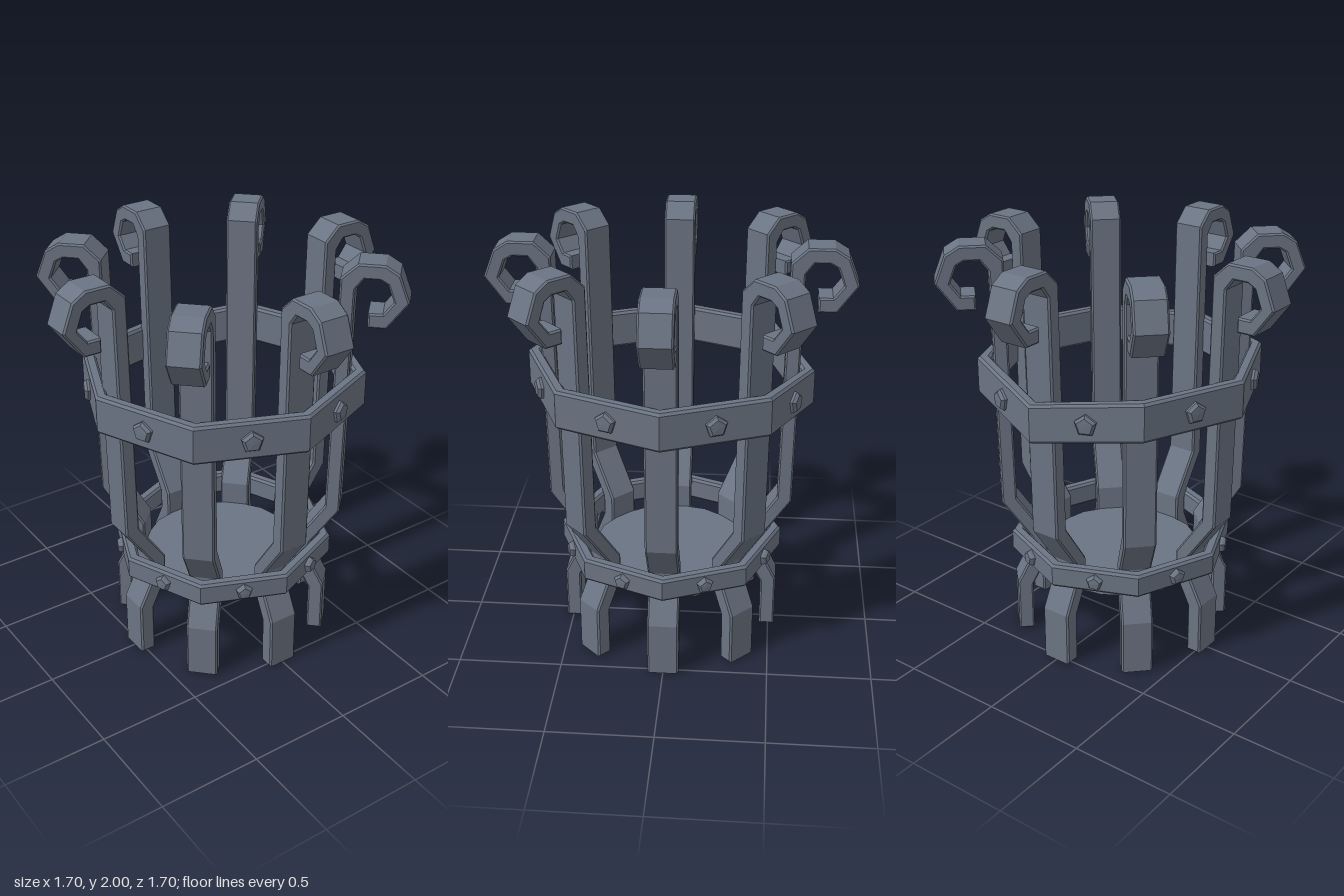
import * as THREE from 'three';

const BARS = 8;
const STEP = (Math.PI * 2) / BARS;

// Bar side profile as (radius, height): inner edge up, over the scroll, back down the outer edge
const BAR_PROFILE = [
  [0.455, 0], [0.53, 0], [0.53, 0.27], [0.455, 0.42], [0.455, 0.52], [0.592, 0.72], [0.608, 1.88],
  [0.645, 1.93], [0.715, 1.93], [0.75, 1.91], [0.78, 1.83], [0.735, 1.77], [0.67, 1.77],
  [0.67, 1.70], [0.755, 1.70], [0.85, 1.83], [0.80, 1.96], [0.735, 2.0], [0.615, 2.0],
  [0.54, 1.93], [0.52, 0.74], [0.38, 0.53], [0.38, 0.40], [0.455, 0.25],
];

function flat(geometry) {
  const g = geometry.index ? geometry.toNonIndexed() : geometry;
  g.computeVertexNormals();
  return g;
}

// Forged bar with narrow chamfers, lying in the x-y plane and 0.15 wide
function barGeometry() {
  const b = 0.008, width = 0.15;
  const shape = new THREE.Shape(BAR_PROFILE.map(([r, y]) => new THREE.Vector2(r, y)));
  const g = new THREE.ExtrudeGeometry(shape, {
    depth: width - 2 * b, bevelEnabled: true, bevelThickness: b,
    bevelSize: b, bevelOffset: -b, bevelSegments: 1,
  });
  g.translate(0, 0, -width / 2 + b);
  return flat(g);
}

// Eight-sided band with chamfered edges; sag lowers its back corner
function bandGeometry(radius, bottom, top, sag) {
  const inner = radius - 0.06, c = 0.012;
  const profile = [
    [inner + c, bottom], [radius - c, bottom], [radius, bottom + c], [radius, top - c],
    [radius - c, top], [inner + c, top], [inner, top - c], [inner, bottom + c], [inner + c, bottom],
  ].map(([r, y]) => new THREE.Vector2(r, y));
  const g = new THREE.LatheGeometry(profile, BARS);
  const p = g.attributes.position;
  for (let i = 0; i < p.count; i++) {
    if (Math.abs(p.getX(i)) < 0.01 && p.getZ(i) < 0) p.setY(i, p.getY(i) - sag);
  }
  return flat(g);
}

// Five-sided rivet with a domed head, facing +z and pointing up
function rivetGeometry(radius) {
  const g = new THREE.LatheGeometry([
    new THREE.Vector2(radius, -0.01), new THREE.Vector2(radius, 0.012),
    new THREE.Vector2(radius * 0.75, 0.026), new THREE.Vector2(0, 0.028),
  ], 5);
  g.rotateX(Math.PI / 2);
  g.rotateZ(Math.PI);
  return flat(g);
}

export function createModel() {
  const model = new THREE.Group();
  model.name = 'fireBasket';
  const iron = new THREE.MeshStandardMaterial({ color: 0x6b7483 });
  iron.name = 'dark iron';

  const add = (parent, name, geometry) => {
    const mesh = new THREE.Mesh(geometry, iron);
    mesh.name = name;
    parent.add(mesh);
    return mesh;
  };

  // Scrolled upright bars
  const bars = new THREE.Group();
  bars.name = 'bars';
  model.add(bars);
  const barGeo = barGeometry();
  for (let i = 0; i < BARS; i++) add(bars, 'bar', barGeo).rotation.y = i * STEP;

  // Bands, each with one rivet in the middle of every side
  const bands = [
    { name: 'upperBand', radius: 0.675, bottom: 1.27, top: 1.455, sag: 0.06, rivet: 0.052 },
    { name: 'lowerBand', radius: 0.545, bottom: 0.42, top: 0.535, sag: 0, rivet: 0.04 },
  ];
  for (const band of bands) {
    const group = new THREE.Group();
    group.name = band.name;
    model.add(group);
    add(group, 'hoop', bandGeometry(band.radius, band.bottom, band.top, band.sag));
    const rivetGeo = rivetGeometry(band.rivet);
    const apothem = band.radius * Math.cos(STEP / 2);
    for (let i = 0; i < BARS; i++) {
      const a = (i + 0.5) * STEP;
      const atBack = Math.cos(a) < -0.9;
      const rivet = add(group, 'rivet', rivetGeo);
      rivet.position.set(
        apothem * Math.sin(a),
        (band.bottom + band.top) / 2 - (atBack ? band.sag / 2 : 0),
        apothem * Math.cos(a),
      );
      rivet.rotation.y = a;
    }
  }

  // Floor plate
  const plate = add(model, 'floorPlate', flat(new THREE.CylinderGeometry(0.39, 0.39, 0.07, 16)));
  plate.position.y = 0.375;

  return model;
}
